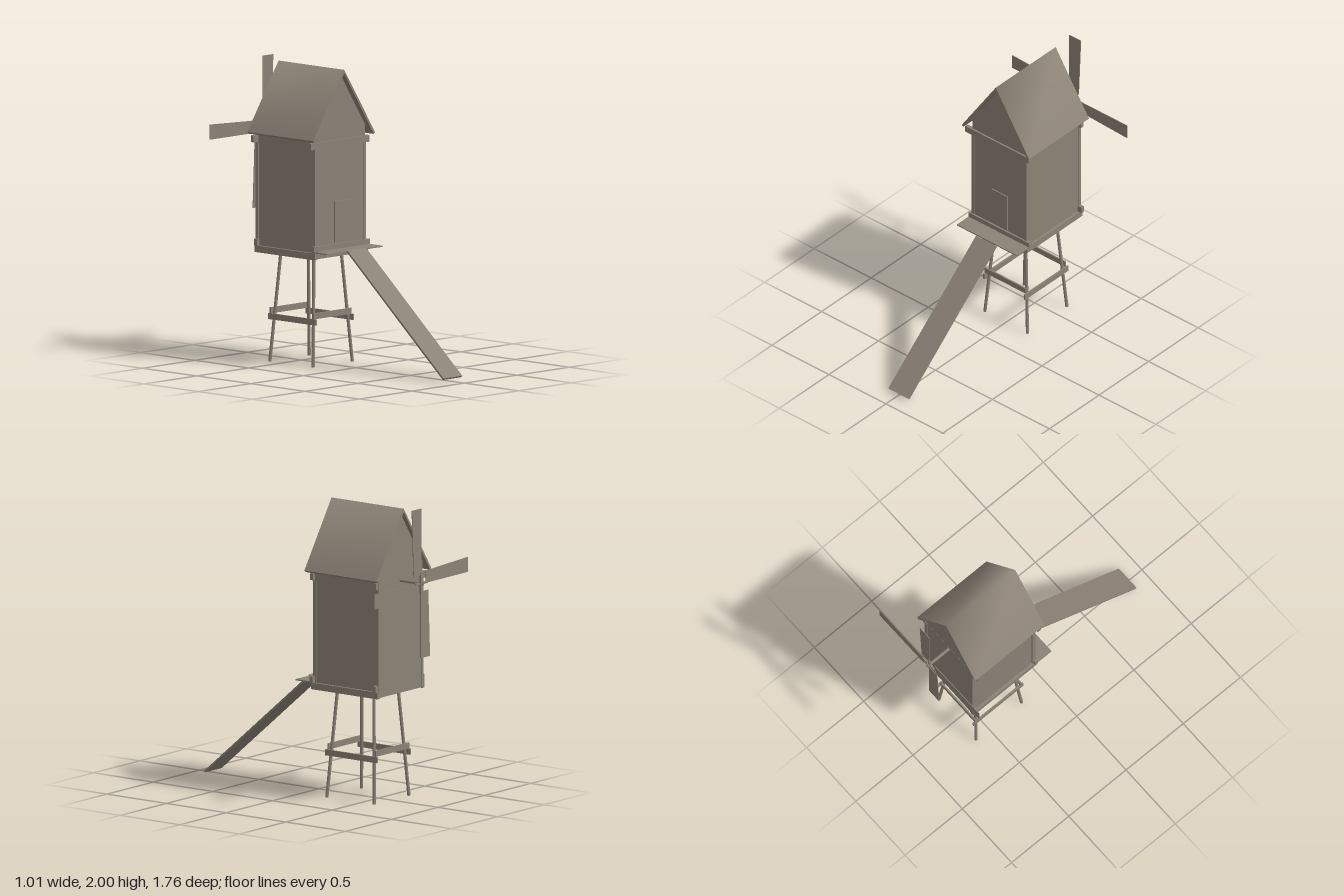
import * as THREE from 'three';

const wood = new THREE.MeshStandardMaterial({ color: 0x8c8276, side: THREE.DoubleSide });
wood.name = 'weathered wood';

export function createModel() {
  const model = new THREE.Group();
  model.name = 'windmill';

  const add = (name, geometry, parent = model) => {
    const mesh = new THREE.Mesh(geometry, wood);
    mesh.name = name;
    parent.add(mesh);
    return mesh;
  };
  // Box given by its lower and upper limits on each axis
  const box = (name, x0, x1, y0, y1, z0, z1) => {
    const mesh = add(name, new THREE.BoxGeometry(x1 - x0, y1 - y0, z1 - z0));
    mesh.position.set((x0 + x1) / 2, (y0 + y1) / 2, (z0 + z1) / 2);
    return mesh;
  };
  // Round rod between two points
  const rod = (name, a, b, r) => {
    const from = new THREE.Vector3(...a), to = new THREE.Vector3(...b);
    const dir = to.clone().sub(from);
    const mesh = add(name, new THREE.CylinderGeometry(r, r, dir.length(), 10));
    mesh.position.copy(from).add(to).multiplyScalar(0.5);
    mesh.quaternion.setFromUnitVectors(new THREE.Vector3(0, 1, 0), dir.normalize());
    return mesh;
  };

  // Gable walls, thin pentagons; the body is open underneath
  const gable = new THREE.Shape([[-0.235, 0.74], [0.235, 0.74], [0.235, 1.59], [0, 1.95], [-0.235, 1.59]]
    .map(([x, y]) => new THREE.Vector2(x, y)));
  const gableGeometry = new THREE.ExtrudeGeometry(gable, { depth: 0.006, bevelEnabled: false });
  add('frontWall', gableGeometry).position.z = -0.15;
  add('backWall', gableGeometry).position.z = -0.685;

  // Side walls, corner posts and long beams
  for (const s of [-1, 1]) {
    const side = s < 0 ? 'right' : 'left';
    const span = (name, a, b, ...rest) => box(name, Math.min(s * a, s * b), Math.max(s * a, s * b), ...rest);
    span(side + 'Wall', 0.229, 0.235, 0.74, 1.52, -0.685, -0.144);
    for (const [end, z] of [['Front', -0.165], ['Back', -0.69]])
      span(side + end + 'Post', 0.219, 0.243, 0.74, 1.5, z, z + 0.025);
    span(side + 'SillBeam', 0.23, 0.253, 0.73, 0.775, -0.69, -0.132);
    span(side + 'TopBeam', 0.225, 0.243, 1.465, 1.515, -0.69, -0.14);
  }

  // Cross beams at sill and eaves
  for (const [end, z] of [['front', -0.157], ['back', -0.686]]) {
    box(end + 'SillBeam', -0.26, 0.27, 0.775, 0.82, z, z + 0.025);
    box(end + 'LowerSill', -0.235, 0.235, 0.735, 0.775, z, z + 0.02);
    box(end + 'TopBeam', -0.29, 0.265, 1.47, 1.515, z, z + 0.025);
  }

  // Door, porch and ramp
  box('door', -0.058, 0.075, 0.83, 1.105, -0.144, -0.136);
  box('porch', -0.26, 0.27, 0.778, 0.786, -0.145, -0.014);
  const ramp = add('ramp', new THREE.BoxGeometry(0.178, 0.013, Math.hypot(0.885, 0.765)));
  ramp.position.set(0.01, 0.403, 0.438);
  ramp.rotation.x = Math.atan2(0.765, 0.885);

  // Roof skins share their ridge normals, giving soft shading over the ridge
  const roof = new THREE.Group();
  roof.name = 'roof';
  model.add(roof);
  const outer = [[-0.297, 1.535], [0, 1.982], [0.293, 1.535]];
  const inner = [[-0.285, 1.523], [0, 1.957], [0.281, 1.523]];
  const strip = (name, a, b) => {
    const positions = [], index = [];
    a.forEach((p, i) => positions.push(...p, ...b[i]));
    for (let i = 0; i < a.length - 1; i++) {
      const k = i * 2;
      index.push(k, k + 2, k + 1, k + 1, k + 2, k + 3);
    }
    const g = new THREE.BufferGeometry();
    g.setAttribute('position', new THREE.Float32BufferAttribute(positions, 3));
    g.setIndex(index);
    g.computeVertexNormals();
    add(name, g, roof);
  };
  const at = (profile, z) => profile.map(([x, y]) => [x, y, z]);
  const zf = -0.107, zb = -0.712;
  strip('roofTop', at(outer, zf), at(outer, zb));
  strip('roofUnderside', at(inner, zb), at(inner, zf));
  strip('roofFrontEdge', at(inner, zf), at(outer, zf));
  strip('roofBackEdge', at(outer, zb), at(inner, zb));
  for (const i of [0, 2]) {
    const o = [[...outer[i], zf], [...outer[i], zb]];
    const n = [[...inner[i], zf], [...inner[i], zb]];
    if (i) strip('leftEave', o, n);
    else strip('rightEave', n, o);
  }

  // Splayed legs
  for (const s of [-1, 1]) {
    rod('frontLeg', [s * 0.187, 0, -0.213], [s * 0.126, 0.79, -0.264], 0.011);
    rod('backLeg', [s * 0.187, 0, -0.611], [s * 0.126, 0.79, -0.56], 0.011);
    const x = s < 0 ? -0.184 : 0.172;
    box('sideBrace', x, x + 0.012, 0.28, 0.32, -0.63, -0.193);
  }
  for (const z of [-0.219, -0.616]) box('crossBrace', -0.185, 0.175, 0.32, 0.36, z, z + 0.011);

  // Shaft and four tapered sails
  rod('shaft', [0, 1.495, -0.68], [0, 1.495, -0.876], 0.011);
  const sailShape = new THREE.Shape([[0.055, 0.004], [0.055, -0.078], [0.505, -0.097], [0.505, 0.004]]
    .map(([x, y]) => new THREE.Vector2(x, y)));
  const sailGeometry = new THREE.ExtrudeGeometry(sailShape, { depth: 0.005, bevelEnabled: false });
  const sails = new THREE.Group();
  sails.name = 'sails';
  sails.position.set(0, 1.495, -0.858);
  model.add(sails);
  for (let i = 0; i < 4; i++) {
    const arm = new THREE.Group();
    arm.name = 'sailArm';
    arm.rotation.z = i * Math.PI / 2;
    add('sail', sailGeometry, arm);
    add('spar', new THREE.BoxGeometry(0.068, 0.013, 0.013), arm).position.set(0.034, 0, 0.002);
    sails.add(arm);
  }
  add('hub', new THREE.BoxGeometry(0.03, 0.03, 0.022), sails);

  return model;
}
